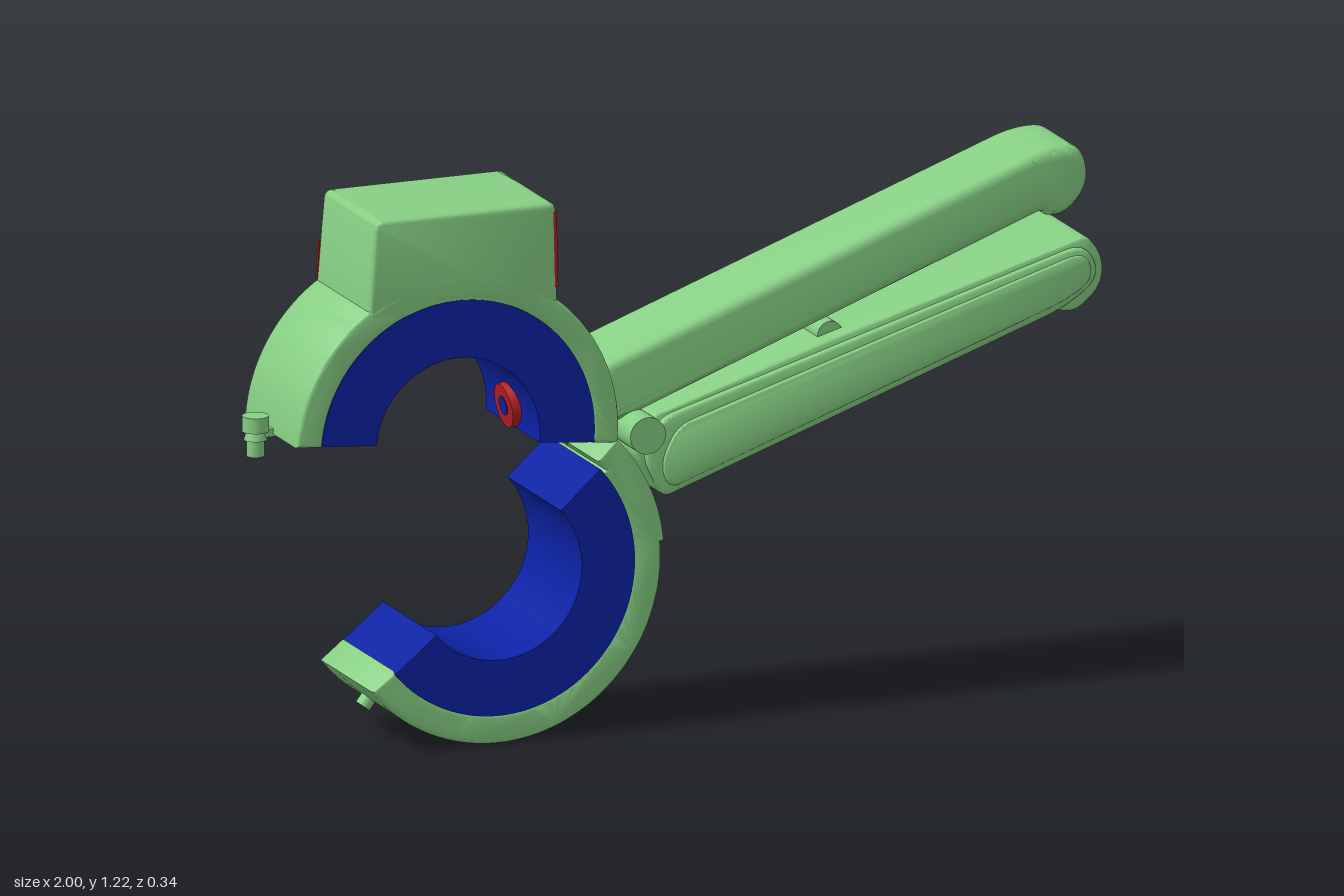
import * as THREE from 'three';
import { toCreasedNormals } from 'three/addons/utils/BufferGeometryUtils.js';

const mat = (name, color) => {
  const m = new THREE.MeshStandardMaterial({ color });
  m.name = name;
  return m;
};

// Closed shape from [x, y, cornerRadius] points
function roundedShape(pts) {
  const s = new THREE.Shape();
  pts.forEach(([x, y, r = 0], i) => {
    const p = new THREE.Vector2(x, y);
    const toward = ([qx, qy]) => {
      const d = new THREE.Vector2(qx, qy).sub(p);
      return p.clone().add(d.setLength(Math.min(r, d.length() * 0.49)));
    };
    const a = toward(pts[(i + pts.length - 1) % pts.length]);
    const b = toward(pts[(i + 1) % pts.length]);
    if (i === 0) s.moveTo(a.x, a.y); else s.lineTo(a.x, a.y);
    if (r > 0) s.quadraticCurveTo(x, y, b.x, b.y);
  });
  s.closePath();
  return s;
}

// Ring sector, angles in degrees
function sector(cx, cy, r0, r1, from, to) {
  const a = THREE.MathUtils.degToRad(from), b = THREE.MathUtils.degToRad(to);
  const s = new THREE.Shape();
  s.absarc(cx, cy, r1, a, b, false);
  s.absarc(cx, cy, r0, b, a, true);
  s.closePath();
  return s;
}

// Extrusion centred on z = 0 whose bevel stays inside the outline
function slab(shape, halfZ, bevel = 0) {
  const g = new THREE.ExtrudeGeometry(shape, {
    depth: 2 * (halfZ - bevel), curveSegments: 40, bevelEnabled: bevel > 0,
    bevelThickness: bevel, bevelSize: bevel, bevelOffset: -bevel, bevelSegments: 4,
  });
  g.translate(0, 0, bevel - halfZ);
  return toCreasedNormals(g, 0.6);
}

export function createModel() {
  const green = mat('shell green', 0x86cf83);
  const blue = mat('liner blue', 0x0c22a4);
  const red = mat('accent red', 0xb81e22);
  const model = new THREE.Group();
  const add = (name, geo, material, x = 0, y = 0, z = 0) => {
    const m = new THREE.Mesh(geo, material);
    m.name = name;
    m.position.set(x, y, z);
    model.add(m);
    return m;
  };

  // Upper jaw: half ring with its housing block
  const ux = -0.55, uy = 0.705;
  add('upperJaw', slab(sector(ux, uy, 0.322, 0.385, -6, 176), 0.152, 0.01), green);
  const block = roundedShape([[-0.765, 1.0], [-0.4, 1.0], [-0.31, 1.0], [-0.315, 1.23, 0.02], [-0.745, 1.23, 0.02]]);
  add('housing', slab(block, 0.152, 0.012), green);
  add('upperLiner', slab(sector(ux, uy, 0.195, 0.326, -5.5, 175.5), 0.1535), blue);

  // Lower jaw, swung open, with a thicker hinge flange
  const lx = -0.45, ly = 0.395;
  add('lowerJaw', slab(sector(lx, ly, 0.318, 0.386, 218, 400), 0.152, 0.01), green);
  add('lowerLiner', slab(sector(lx, ly, 0.195, 0.322, 219, 402), 0.1535), blue);
  add('hingeFlange', slab(sector(lx, ly, 0.33, 0.395, 5, 45), 0.152, 0.008), green);

  // Fixed upper handle with a hooked tip
  const handle = roundedShape([
    [-0.185, 0.69, 0.02], [-0.125, 0.705, 0.02], [0.87, 1.075, 0.02], [0.875, 1.06, 0.01],
    [0.925, 1.06, 0.04], [0.98, 1.12, 0.04], [0.965, 1.215, 0.05], [0.88, 1.22, 0.06], [-0.185, 0.835, 0.02],
  ]);
  add('upperHandle', slab(handle, 0.11, 0.025), green);

  // Moving lower lever
  const lever = roundedShape([
    [-0.13, 0.64, 0.03], [-0.06, 0.53, 0.02], [0.88, 0.855, 0.01], [0.93, 0.845, 0.03],
    [0.995, 0.9, 0.05], [0.995, 0.97, 0.04], [0.955, 1.02, 0.02], [0.33, 0.842], [-0.09, 0.715, 0.03],
  ]);
  add('lowerLever', slab(lever, 0.143, 0.012), green);
  const sidePlate = roundedShape([
    [-0.11, 0.63, 0.04], [-0.06, 0.53, 0.02], [0.9, 0.863, 0.06],
    [0.985, 0.925, 0.05], [0.95, 1.005, 0.05], [-0.07, 0.71, 0.04],
  ]);
  add('leverSidePlates', slab(sidePlate, 0.158, 0.01), green);
  const sidePanel = roundedShape([
    [-0.07, 0.61, 0.04], [-0.05, 0.55, 0.03], [0.9, 0.882, 0.06],
    [0.965, 0.925, 0.05], [0.945, 0.99, 0.05], [-0.03, 0.692, 0.04],
  ]);
  add('leverSidePanels', slab(sidePanel, 0.165, 0.006), green);
  add('leverBump', new THREE.CylinderGeometry(0.03, 0.03, 0.2, 24).rotateX(Math.PI / 2), green, 0.36, 0.845);

  // Grip pad under the lever
  const gripShape = roundedShape([[-0.25, -0.135, 0.02], [0.22, -0.135, 0.1], [0.22, 0.135, 0.1], [-0.25, 0.135, 0.02]]);
  const grip = add('gripPad', slab(gripShape, 0.005).rotateX(Math.PI / 2), green, 0.46, 0.709);
  grip.rotation.z = 0.334;

  // Hinge pin through both halves
  add('hingePin', new THREE.CylinderGeometry(0.042, 0.042, 0.345, 32).rotateX(Math.PI / 2), green, -0.105, 0.68);

  // Latch stud beside the upper jaw and its catch on the lower jaw
  add('latchHead', new THREE.CylinderGeometry(0.03, 0.03, 0.035, 24), green, -0.97, 0.757);
  add('latchNeck', new THREE.CylinderGeometry(0.02, 0.026, 0.02, 24), green, -0.97, 0.73);
  add('latchStem', new THREE.CylinderGeometry(0.02, 0.02, 0.05, 24), green, -0.97, 0.708);
  add('latchTab', new THREE.BoxGeometry(0.04, 0.018, 0.03), green, -0.94, 0.735);
  const latchCatch = new THREE.Group();
  latchCatch.name = 'latchCatch';
  latchCatch.position.set(-0.693, 0.112, 0);
  latchCatch.rotation.z = -0.65;
  [[0.026, 0.03, 0.012], [0.018, 0.05, -0.01]].forEach(([r, h, y]) => {
    const m = new THREE.Mesh(new THREE.CylinderGeometry(r, r, h, 24), green);
    m.name = 'catchStud';
    m.position.y = y;
    latchCatch.add(m);
  });
  model.add(latchCatch);

  // Red button on the inner face of the upper liner
  const button = add('button', new THREE.CylinderGeometry(0.05, 0.055, 0.04, 32).rotateZ(Math.PI / 2), red, -0.358, 0.738);
  button.rotation.z = 0.17;
  const core = add('buttonCore', new THREE.CylinderGeometry(0.022, 0.022, 0.044, 24).rotateZ(Math.PI / 2), blue, -0.358, 0.738);
  core.rotation.z = 0.17;

  // Thin red seams on two housing corners
  const seam = add('frontSeam', new THREE.BoxGeometry(0.008, 0.17, 0.016), red, -0.316, 1.122, 0.143);
  seam.rotation.z = 0.022;
  const backSeam = add('backSeam', new THREE.BoxGeometry(0.008, 0.09, 0.008), red, -0.757, 1.07, -0.146);
  backSeam.rotation.z = -0.087;
  return model;
}
